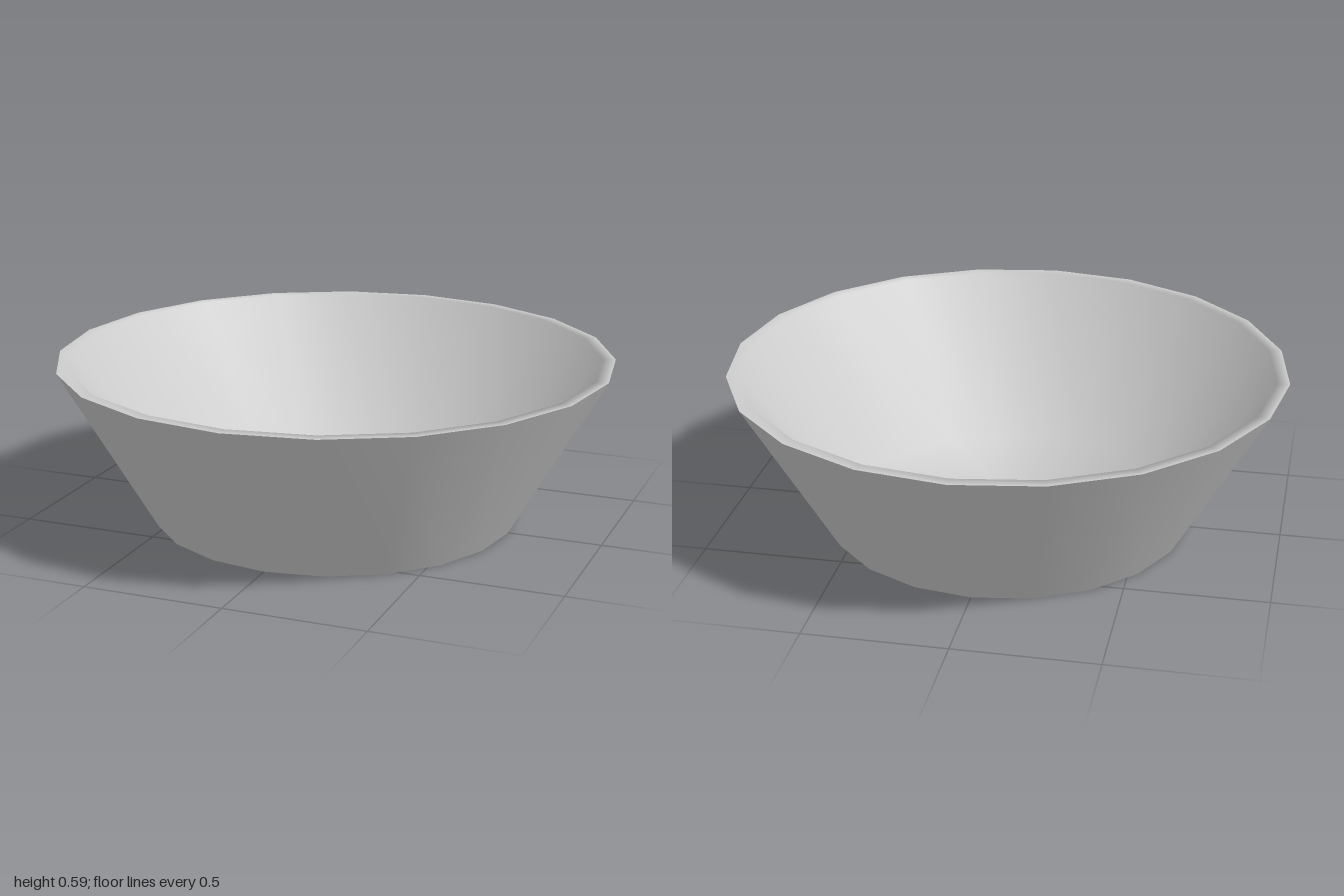
import * as THREE from 'three';
import { mergeVertices } from 'three/addons/utils/BufferGeometryUtils.js';

const SIDES = 20;

// Revolve a profile of [radius, height] points and smooth it with area-weighted normals
function revolve(name, profile) {
  const points = profile.map(([r, y]) => new THREE.Vector2(r, y));
  let geometry = new THREE.LatheGeometry(points, SIDES);
  geometry.deleteAttribute('uv');
  geometry.deleteAttribute('normal');
  geometry = mergeVertices(geometry, 1e-4);
  geometry.computeVertexNormals();
  const mesh = new THREE.Mesh(geometry, new THREE.MeshStandardMaterial({ color: 0xcccccc }));
  mesh.name = name;
  return mesh;
}

export function createModel() {
  const bowl = new THREE.Group();
  bowl.name = 'bowl';

  // Sharp edges lie between these three surfaces
  bowl.add(revolve('base', [[0, 0], [0.66, 0]]));
  bowl.add(revolve('outerWall', [[0.66, 0], [1, 0.59]]));
  // Rim, inner wall and floor blend smoothly
  bowl.add(revolve('rimAndInside', [[1, 0.59], [0.955, 0.59], [0.56, 0.06], [0, 0.06]]));

  return bowl;
}
